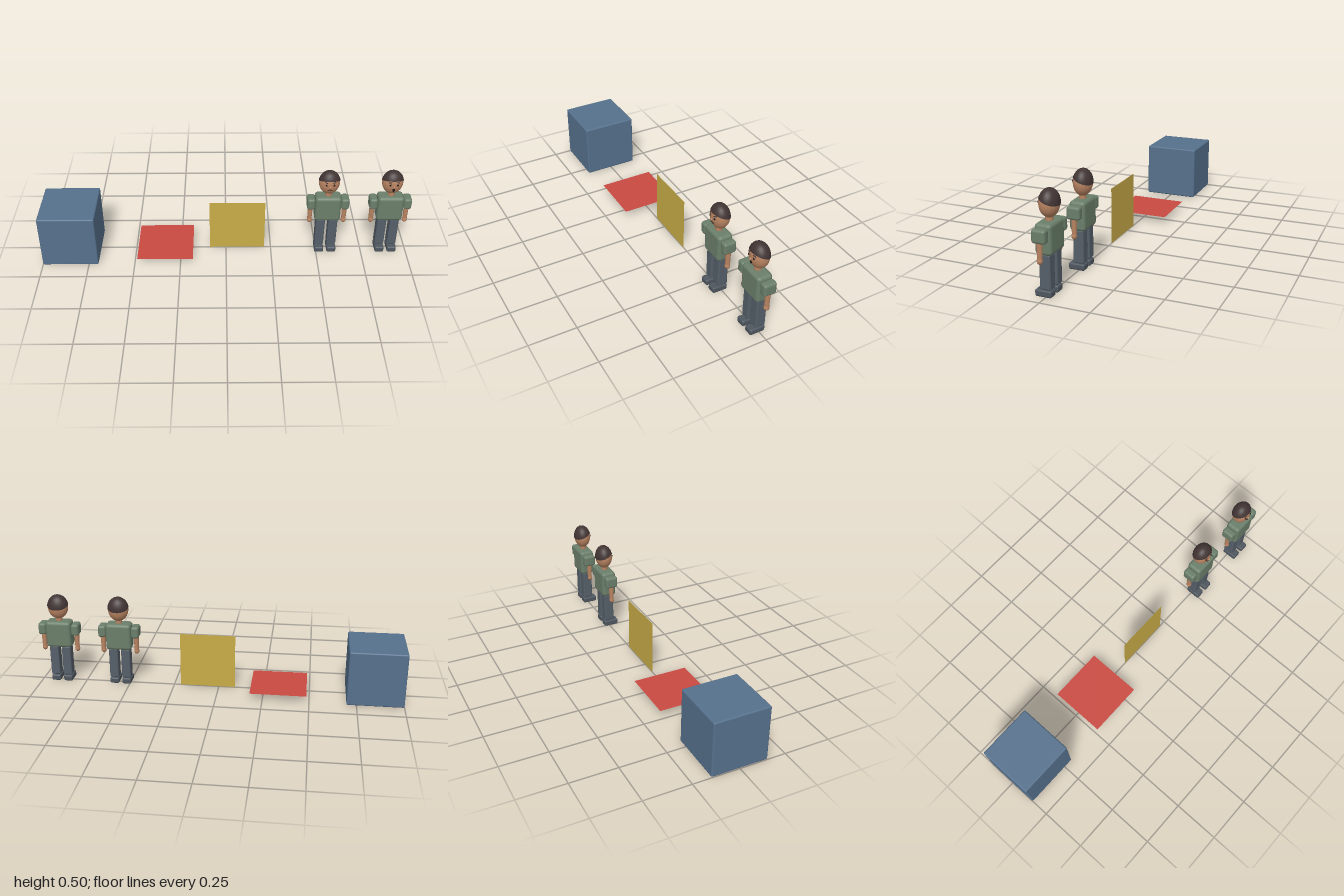
import * as THREE from 'three';
import { RoundedBoxGeometry } from 'three/addons/geometries/RoundedBoxGeometry.js';

const material = (name, color, side = THREE.FrontSide) => {
  const m = new THREE.MeshStandardMaterial({ color, side });
  m.name = name;
  return m;
};

export function createModel() {
  const blue = material('blue', 0x56718d);
  const red = material('red', 0xc94a42, THREE.DoubleSide);
  const yellow = material('yellow', 0xc9ac47, THREE.DoubleSide);
  const skin = material('skin', 0xb98462);
  const hair = material('hair', 0x423534, THREE.DoubleSide);
  const shirt = material('shirt', 0x6b7f6b);
  const trousers = material('trousers', 0x555f69);
  const shoes = material('shoes', 0x4e565f);
  const dark = material('dark', 0x1e1616);

  const add = (parent, name, geometry, mat, x, y, z) => {
    const mesh = new THREE.Mesh(geometry, mat);
    mesh.name = name;
    mesh.position.set(x, y, z);
    parent.add(mesh);
    return mesh;
  };
  const rounded = (w, h, d, r) => new RoundedBoxGeometry(w, h, d, 4, r);
  const ball = (rx, ry, rz) => new THREE.SphereGeometry(1, 24, 16).scale(rx, ry, rz);

  const HEAD = { y: 0.436, z: -0.004, rx: 0.056, ry: 0.067, rz: 0.047 };
  // Depth of the face surface at an offset from the head centre
  const faceZ = (x, y) =>
    HEAD.z + HEAD.rz * Math.sqrt(1 - (x / HEAD.rx) ** 2 - (y / HEAD.ry) ** 2);

  function person(name, x, worried) {
    const p = new THREE.Group();
    p.name = name;
    p.position.x = x;

    // Body
    add(p, 'torso', rounded(0.14, 0.149, 0.083, 0.018), shirt, 0, 0.2815, -0.001);
    add(p, 'neck', new THREE.CylinderGeometry(0.018, 0.018, 0.05, 24), skin, 0, 0.365, -0.001);

    for (const s of [1, -1]) {
      const side = s > 0 ? 'left' : 'right';
      add(p, side + 'Sleeve', rounded(0.043, 0.066, 0.07, 0.013), shirt, s * 0.0915, 0.31, -0.001);
      add(p, side + 'Arm', new THREE.CylinderGeometry(0.0145, 0.012, 0.09, 20), skin, s * 0.093, 0.245, 0);
      add(p, side + 'Hand', ball(0.014, 0.017, 0.014), skin, s * 0.093, 0.193, 0.001);
      add(p, side + 'Leg', rounded(0.05, 0.172, 0.056, 0.008), trousers, s * 0.034, 0.124, -0.001);
      add(p, side + 'Shoe', rounded(0.05, 0.034, 0.084, 0.009), shoes, s * 0.034, 0.018, 0.0115);

      // Eye and eyebrow
      add(p, side + 'Eye', ball(0.0055, 0.006, 0.003), dark, s * 0.02, 0.442, faceZ(0.02, 0.006));
      const brow = add(p, side + 'Eyebrow', new THREE.BoxGeometry(0.017, 0.0035, 0.004), hair,
        s * 0.021, 0.457, faceZ(0.021, 0.021));
      brow.rotation.set(0, s * 0.35, s * (worried ? -0.25 : 0.2));
    }

    // Head with a cap of hair, cut on a plane that dips towards the back
    add(p, 'head', ball(HEAD.rx, HEAD.ry, HEAD.rz), skin, 0, HEAD.y, HEAD.z);
    const cap = new THREE.SphereGeometry(1, 32, 16, 0, Math.PI * 2, 0, 1.4);
    cap.rotateX(-0.27).scale(HEAD.rx * 1.04, HEAD.ry * 1.03, HEAD.rz * 1.04);
    add(p, 'hair', cap, hair, 0, HEAD.y, HEAD.z);
    add(p, 'nose', ball(0.006, 0.008, 0.008), skin, 0, 0.43, 0.043);

    // Mouth: round and open, or a short turned-down line
    const mouthZ = faceZ(0, -0.024);
    if (worried) {
      add(p, 'mouth', ball(0.007, 0.011, 0.003), dark, 0, 0.412, mouthZ);
    } else {
      const arc = new THREE.TorusGeometry(0.016, 0.002, 8, 16, 1.8).rotateZ(Math.PI / 2 - 0.9);
      add(p, 'mouth', arc, dark, 0, 0.399, mouthZ);
    }
    return p;
  }

  const model = new THREE.Group();
  add(model, 'block', rounded(0.303, 0.303, 0.303, 0.008), blue, -0.8485, 0.153, 0);
  add(model, 'floorPanel', new THREE.PlaneGeometry(0.303, 0.303).rotateX(-Math.PI / 2), red, -0.333, 0.04, 0);
  add(model, 'uprightPanel', new THREE.PlaneGeometry(0.303, 0.303), yellow, 0.062, 0.153, 0);
  model.add(person('firstPerson', 0.55, false), person('secondPerson', 0.886, true));
  return model;
}
